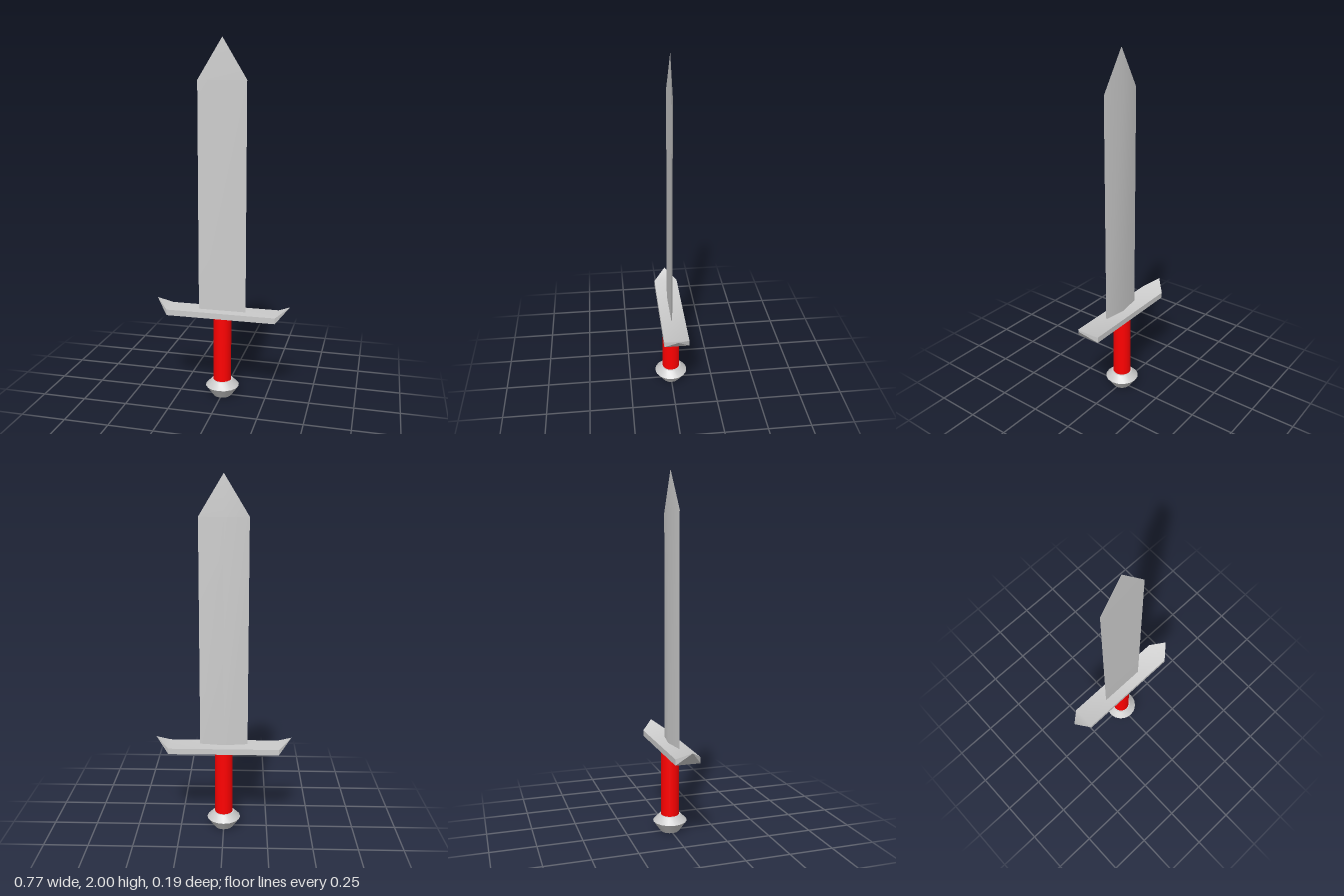
import * as THREE from 'three';
import { toCreasedNormals } from 'three/addons/utils/BufferGeometryUtils.js';

const CREASE = 0.6;

// Skins a list of rings; a ring of length 1 is a pointed end.
function loft(rings) {
  const pos = [];
  const n = Math.max(...rings.map((r) => r.length));
  const at = (ring, j) => ring[j % ring.length];
  for (let i = 0; i < rings.length - 1; i++) {
    const [r0, r1] = [rings[i], rings[i + 1]];
    for (let j = 0; j < n; j++) {
      const a = at(r0, j), b = at(r0, (j + 1) % n);
      const c = at(r1, (j + 1) % n), d = at(r1, j);
      if (r0.length > 1) pos.push(...a, ...b, ...c);
      if (r1.length > 1) pos.push(...a, ...c, ...d);
    }
  }
  const geo = new THREE.BufferGeometry();
  geo.setAttribute('position', new THREE.Float32BufferAttribute(pos, 3));
  return toCreasedNormals(geo, CREASE);
}

export function createModel() {
  const group = new THREE.Group();
  const steel = new THREE.MeshStandardMaterial({ color: 0xcccccc });
  const red = new THREE.MeshStandardMaterial({ color: 0xff0000 });
  const add = (name, geo, mat) => {
    const mesh = new THREE.Mesh(geo, mat);
    mesh.name = name;
    group.add(mesh);
    return mesh;
  };

  // Blade: flat front, shallow ridge along the back, pointed tip
  const section = (y) => [[-0.135, y, 0.01], [0.135, y, 0.01], [0, y, -0.01]];
  add('blade', loft([section(0.49), section(1.78), [[0, 2, 0.003]]]), steel);

  // Crossguard: square bar with upswept pyramid ends
  const bar = (x) => [[x, 0.51, -0.069], [x, 0.51, 0.069], [x, 0.477, 0.069], [x, 0.477, -0.069]];
  add('crossguard', loft([[[-0.383, 0.557, 0]], bar(-0.31), bar(0.31), [[0.383, 0.557, 0]]]), steel);

  // Grip
  const grip = add('grip', new THREE.CylinderGeometry(0.051, 0.051, 0.41, 16), red);
  grip.position.y = 0.285;

  // Pommel: two cones meeting at a sharp rim
  const profile = [[0, 0], [0.053, 0], [0.096, 0.06], [0.06, 0.096], [0, 0.096]]
    .map(([r, y]) => new THREE.Vector2(r, y));
  add('pommel', toCreasedNormals(new THREE.LatheGeometry(profile, 16), CREASE), steel);

  return group;
}
